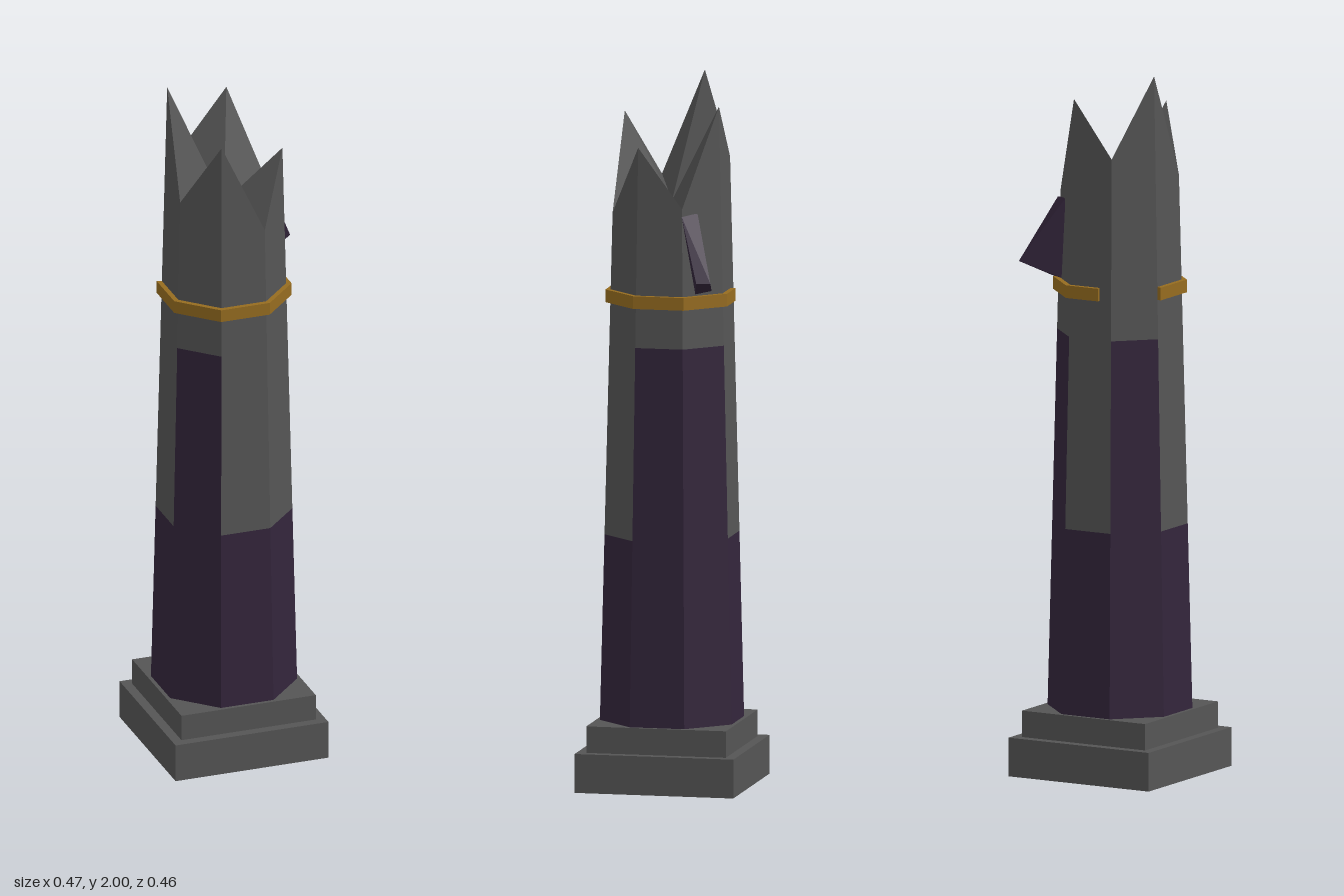
import * as THREE from 'three';
import { ConvexGeometry } from 'three/addons/geometries/ConvexGeometry.js';

const AXIS_X = -0.008;
const SILL = 0.18;

export function createModel() {
  const model = new THREE.Group();
  model.name = 'brokenPillar';

  const material = (name, color) => {
    const m = new THREE.MeshStandardMaterial({ color, flatShading: true });
    m.name = name;
    return m;
  };
  const stone = material('greyStone', 0x555555);
  const purple = material('darkPurple', 0x33253b);
  const gold = material('oldGold', 0x966c20);

  const add = (name, geometry, mat) => {
    const mesh = new THREE.Mesh(geometry, mat);
    mesh.name = name;
    model.add(mesh);
    return mesh;
  };

  // Square stepped plinth
  add('plinthBase', new THREE.BoxGeometry(0.455, 0.11, 0.455).translate(AXIS_X, 0.055, 0), stone);
  add('plinthStep', new THREE.BoxGeometry(0.4, 0.075, 0.4).translate(AXIS_X, 0.1475, 0), stone);

  // Corner k of the tapering eight-sided shaft at height y
  const angle = (k) => ((k + 0.5) * Math.PI) / 4;
  const corner = (k, y) => {
    const r = THREE.MathUtils.mapLinear(y, SILL, 2, 0.2046, 0.159);
    return new THREE.Vector3(AXIS_X + r * Math.cos(angle(k)), y, r * Math.sin(angle(k)));
  };
  const surface = (points) => new THREE.BufferGeometry().setFromPoints(points);
  const finish = (points) => {
    const g = surface(points);
    g.computeVertexNormals();
    return g;
  };

  // Each side: purple up to its own height, bare stone up to the jagged rim
  const rim = [1.82, 1.62, 1.89, 1.7, 2.0, 1.77, 1.93, 1.65];
  const paint = [0.71, 0.71, 1.255, 0.71, 1.255, 0.71, 1.255, 1.255];
  const centre = new THREE.Vector3(AXIS_X, 1.65, 0);
  const lower = [], upper = [], broken = [];
  const quad = (list, a, b, c, d) => list.push(a, b, c, a, c, d);
  for (let k = 0; k < 8; k++) {
    const n = (k + 1) % 8;
    const h = paint[k];
    quad(lower, corner(n, SILL), corner(k, SILL), corner(k, h), corner(n, h));
    quad(upper, corner(n, h), corner(k, h), corner(k, rim[k]), corner(n, rim[n]));
    broken.push(centre, corner(n, rim[n]), corner(k, rim[k]));
  }
  add('purpleLowerShaft', finish(lower), purple);
  add('stoneUpperShaft', finish(upper), stone);
  add('brokenTop', finish(broken), stone);

  // Gold band, open across the back-left side
  const ring = (r) => {
    const at = (k) => new THREE.Vector2(AXIS_X + r * Math.cos(angle(k)), r * Math.sin(angle(k)));
    const pts = [4, 3, 2, 1, 0, 7, 6].map(at);
    pts.push(at(6).lerp(at(5), 0.72));
    return pts;
  };
  const bandShape = new THREE.Shape([...ring(0.189), ...ring(0.168).reverse()]);
  const band = new THREE.ExtrudeGeometry(bandShape, { depth: 0.036, bevelEnabled: false });
  band.rotateX(Math.PI / 2).translate(0, 1.403, 0);
  add('goldBand', band, gold);

  // Pointed shard lodged in the back-right side
  const shard = [
    [0.155, 1.63, -0.065], [0.11, 1.635, -0.1],
    [0.235, 1.455, -0.125], [0.224, 1.455, -0.163],
    [0.15, 1.412, -0.103], [0.1, 1.415, -0.138],
  ].map((p) => new THREE.Vector3(...p));
  add('shard', new ConvexGeometry(shard), purple);

  return model;
}
